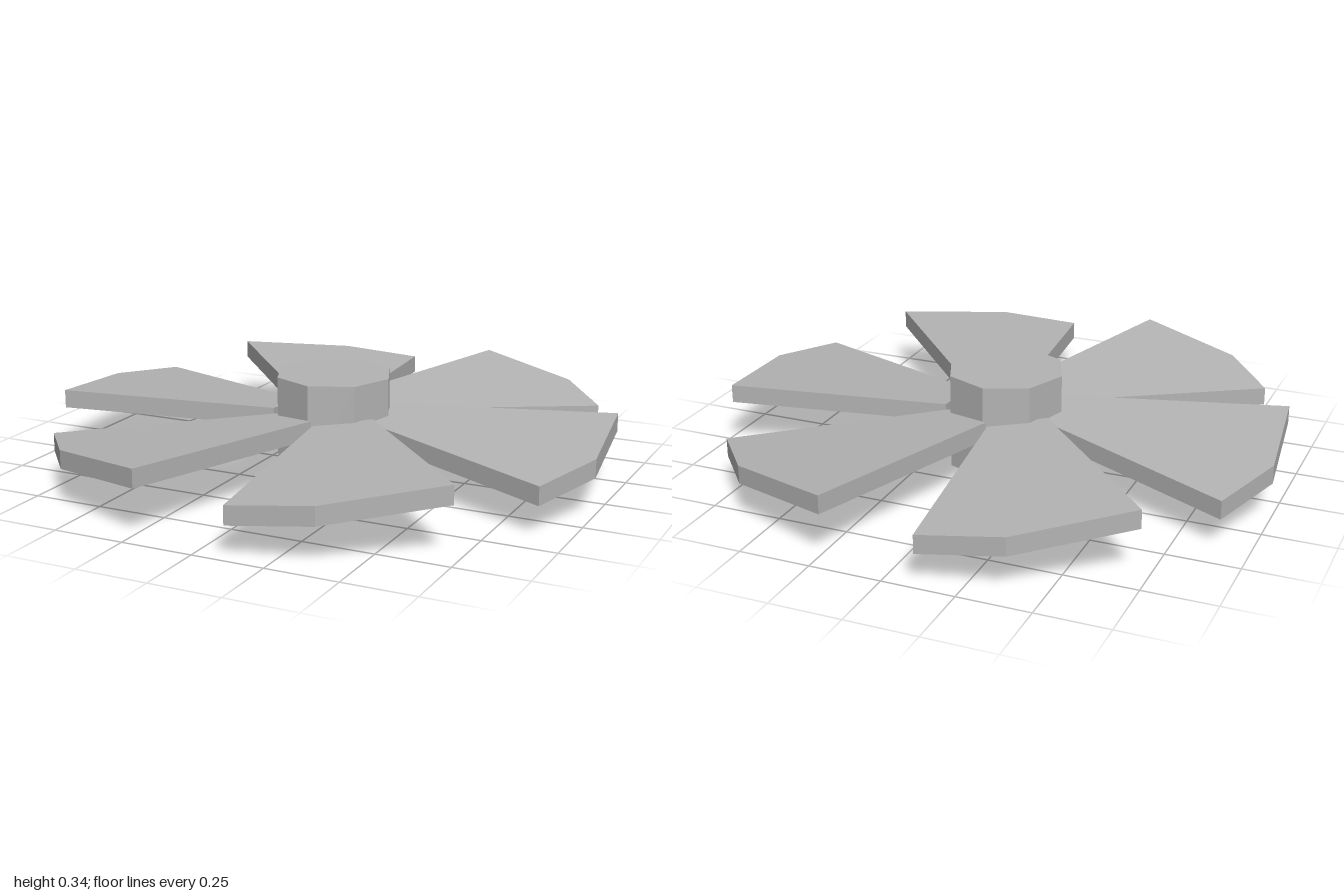
import * as THREE from 'three';

const BLADES = 6;
const THICKNESS = 0.065;
const PITCH = -0.094; // rise per unit of z across a blade
const BASE = 0.142; // underside height along the blade's centre line

// Blade plan as [x, z], pointing along +x
const OUTLINE = [[0.18, -0.12], [0.185, 0.09], [0.9, 0.4], [1.0, 0.13], [0.95, -0.29]];

function bladeGeometry() {
  const shape = new THREE.Shape(OUTLINE.map(([x, z]) => new THREE.Vector2(x, -z)));
  const geo = new THREE.ExtrudeGeometry(shape, { depth: THICKNESS, bevelEnabled: false });
  geo.rotateX(-Math.PI / 2);
  // Shear the flat plate into a pitched blade with upright sides
  const pos = geo.attributes.position;
  for (let i = 0; i < pos.count; i++) {
    pos.setY(i, pos.getY(i) + BASE + PITCH * pos.getZ(i));
  }
  geo.computeVertexNormals();
  return geo;
}

export function createModel() {
  const model = new THREE.Group();
  model.name = 'fanRotor';
  const metal = new THREE.MeshStandardMaterial({ color: 0xb4b4b4, flatShading: true });
  metal.name = 'grey metal';

  // Octagonal hub
  const hub = new THREE.Mesh(new THREE.CylinderGeometry(0.21, 0.21, 0.34, 8), metal);
  hub.name = 'hub';
  hub.position.y = 0.17;
  model.add(hub);

  // Ring of pitched blades
  const geo = bladeGeometry();
  for (let i = 0; i < BLADES; i++) {
    const blade = new THREE.Mesh(geo, metal);
    blade.name = `blade${i + 1}`;
    blade.rotation.y = (i / BLADES) * Math.PI * 2;
    model.add(blade);
  }
  return model;
}
